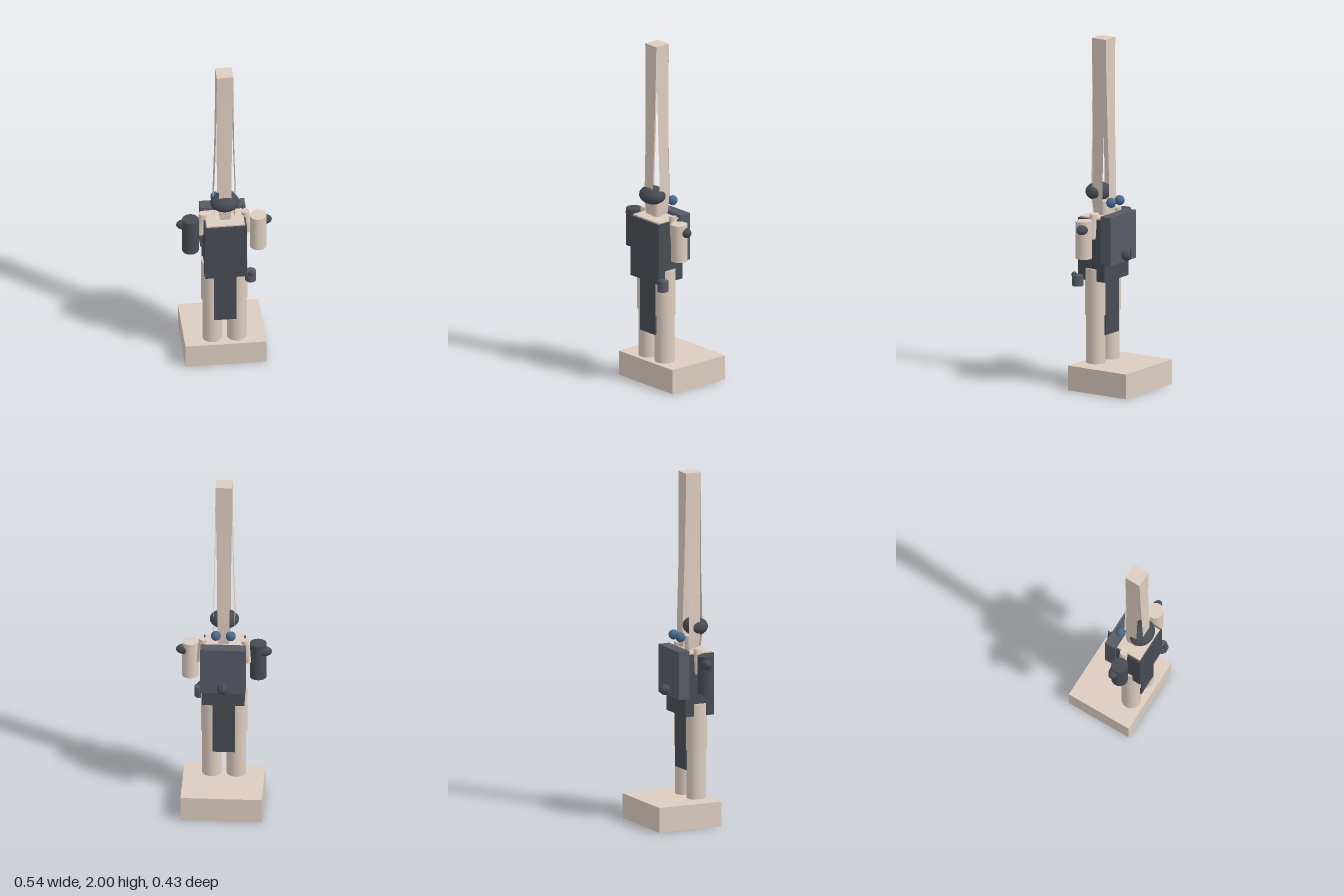
import * as THREE from 'three';

const material = (name, color) => {
  const m = new THREE.MeshStandardMaterial({ color, side: THREE.DoubleSide });
  m.name = name;
  return m;
};

export function createModel() {
  const beige = material('beige', 0xddccbe);
  const dark = material('charcoal', 0x474c53);
  const slate = material('slate', 0x575b65);
  const blue = material('blue', 0x46698f);
  const model = new THREE.Group();
  model.name = 'figure';

  const add = (name, geometry, mat, x, y, z) => {
    const mesh = new THREE.Mesh(geometry, mat);
    mesh.name = name;
    mesh.position.set(x, y, z);
    model.add(mesh);
    return mesh;
  };
  // Box given by its limits on each axis
  const box = (name, mat, [x0, x1], [y0, y1], [z0, z1]) =>
    add(name, new THREE.BoxGeometry(x1 - x0, y1 - y0, z1 - z0), mat,
      (x0 + x1) / 2, (y0 + y1) / 2, (z0 + z1) / 2);
  // Upright cylinder between two heights
  const post = (name, mat, r, x, z, y0, y1) =>
    add(name, new THREE.CylinderGeometry(r, r, y1 - y0, 32), mat, x, (y0 + y1) / 2, z);
  const ball = (name, mat, x, y, z, rx, ry = rx, rz = rx) => {
    const mesh = add(name, new THREE.SphereGeometry(1, 32, 20), mat, x, y, z);
    mesh.scale.set(rx, ry, rz);
    return mesh;
  };

  // Plinth
  box('plinth', beige, [-0.228, 0.228], [0, 0.142], [-0.215, 0.178]);

  // Legs, shoulders, arms and elbow guards, mirrored
  for (const s of [-1, 1]) {
    post('lowerLeg', beige, 0.055, s * 0.069, 0.098, 0.142, 0.425);
    post('upperLeg', beige, 0.062, s * 0.069, 0.098, 0.42, 0.69);
    const shoulder = post('shoulder', beige, 0.022, s * 0.127, 0.081, 0.865, 1.005);
    shoulder.rotation.z = s * 0.12;
    post('arm', s < 0 ? dark : beige, 0.047, s * 0.191, 0.096, 0.765, 0.98);
    ball('elbowGuard', dark, s * 0.222, 0.936, 0.082, 0.048, 0.03, 0.029);
    ball('blueOrb', blue, s * 0.042, 1.065, 0.013, 0.028);
  }

  // Torso inside its armour, with a hanging cloth
  box('torso', beige, [-0.108, 0.108], [0.64, 0.982], [0.012, 0.178]);
  box('armour', dark, [-0.118, 0.118], [0.62, 0.974], [0.006, 0.186]);
  box('loincloth', dark, [-0.065, 0.063], [0.305, 0.63], [0.034, 0.163]);

  // Backpack with a knob and small aerial
  box('backpack', slate, [-0.127, 0.127], [0.725, 1.0], [-0.04, 0.028]);
  ball('packKnob', dark, 0, 0.765, -0.064, 0.031);
  post('packAerial', dark, 0.005, 0, -0.092, 0.76, 0.812);

  // Belt pouch
  post('pouch', slate, 0.031, 0.14, 0.173, 0.587, 0.648);
  ball('pouchButton', dark, 0.14, 0.648, 0.197, 0.016);

  // Neck and cap
  post('neck', beige, 0.028, 0, 0.092, 0.97, 1.06);
  ball('cap', dark, 0, 1.112, 0.128, 0.082, 0.052, 0.068);

  // Tall crest: four panels that join at the top and part at the corners below
  const profile = [ // height, half width, distance from the centre line
    [2.0, 0.047, 0.047], [1.9, 0.046, 0.047], [1.7, 0.041, 0.049],
    [1.45, 0.037, 0.053], [1.2, 0.035, 0.061], [1.08, 0.035, 0.062], [1.0, 0.03, 0.054],
  ];
  const crest = new THREE.Group();
  crest.name = 'crest';
  crest.position.set(0, 0, 0.093);
  for (let side = 0; side < 4; side++) {
    const panel = new THREE.PlaneGeometry(2, 1, 4, profile.length - 1);
    const p = panel.attributes.position;
    for (let i = 0; i < p.count; i++) {
      const [y, half, out] = profile[Math.floor(i / 5)];
      p.setXYZ(i, p.getX(i) * half, y, out);
    }
    panel.computeVertexNormals();
    const mesh = new THREE.Mesh(panel, beige);
    mesh.name = 'crestPanel';
    mesh.rotation.y = side * Math.PI / 2;
    crest.add(mesh);
  }
  const top = new THREE.Mesh(new THREE.PlaneGeometry(0.094, 0.094), beige);
  top.name = 'crestTop';
  top.rotation.x = -Math.PI / 2;
  top.position.y = 2;
  crest.add(top);
  model.add(crest);

  return model;
}
